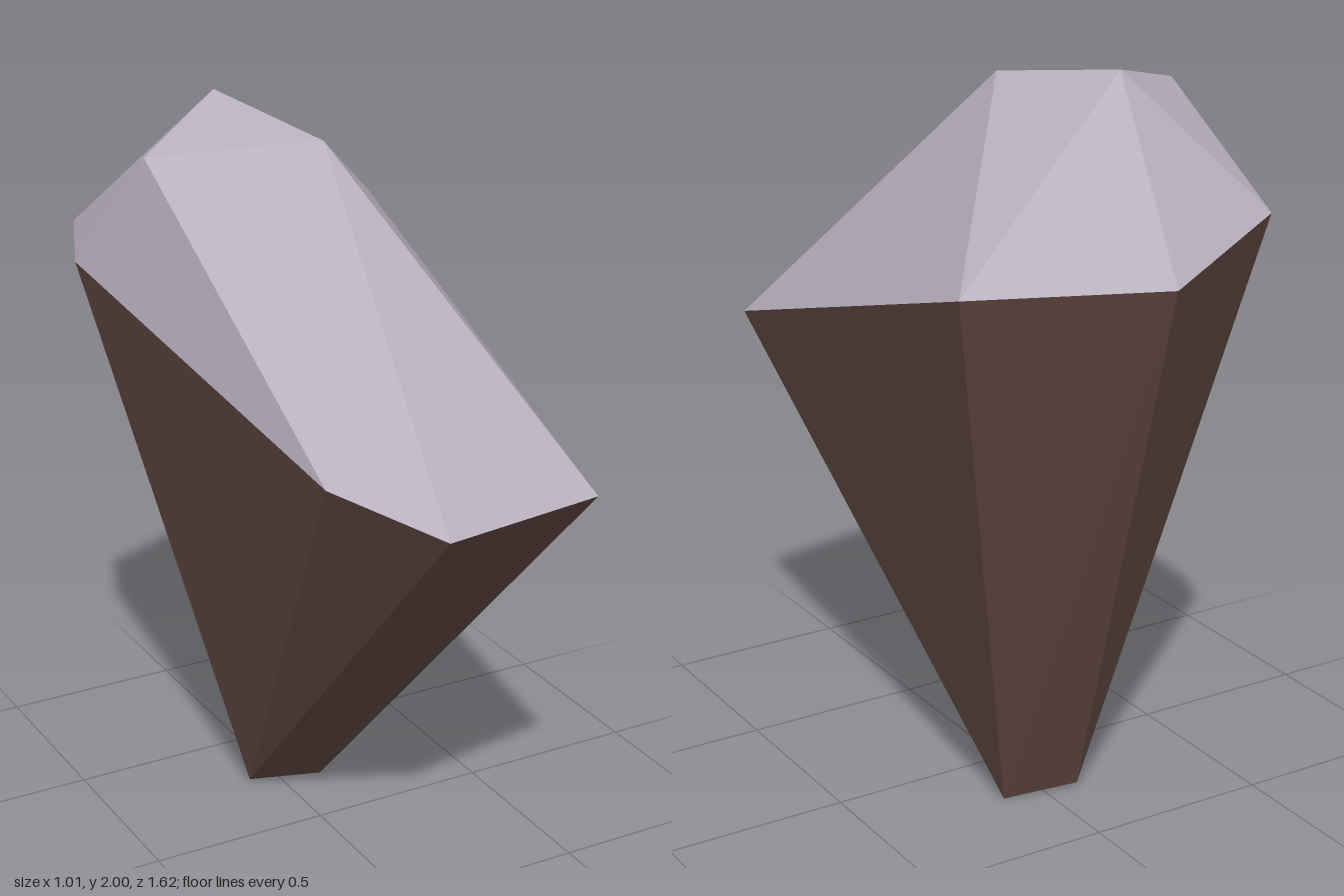
import * as THREE from 'three';

// Rim corners, counter-clockwise seen from above, starting at the front
const rim = [
  [-0.095, 1.185, 0.81], [0.387, 1.17, 0.718], [0.503, 1.58, -0.643], [0.013, 1.57, -0.813],
  [-0.426, 1.64, -0.587], [-0.503, 1.59, -0.406], [-0.318, 1.29, 0.609],
];
const [front, , backRight, back, backLeft, , frontLeft] = rim;

// Three summit corners and the short ridge at the foot
const peak = [-0.1, 2, -0.396], crest = [0.017, 1.94, -0.015], shoulder = [-0.4, 1.91, -0.187];
const footA = [-0.09, 0.012, -0.256], footB = [0.115, 0, -0.212];

function facets(name, color, materialName, triangles) {
  const geometry = new THREE.BufferGeometry();
  geometry.setAttribute('position', new THREE.Float32BufferAttribute(triangles.flat(2), 3));
  geometry.computeVertexNormals();
  const material = new THREE.MeshStandardMaterial({ color });
  material.name = materialName;
  const mesh = new THREE.Mesh(geometry, material);
  mesh.name = name;
  return mesh;
}

export function createModel() {
  const group = new THREE.Group();
  group.name = 'floatingRock';

  // Each rim edge joins one summit corner above and one foot corner below
  const summits = [crest, crest, peak, peak, shoulder, shoulder, crest];
  const feet = [footB, footB, footB, footA, footA, footA, footA];
  const next = (i) => rim[(i + 1) % rim.length];
  const cap = rim.map((p, i) => [p, next(i), summits[i]]);
  const body = rim.map((p, i) => [next(i), p, feet[i]]);

  // Facets that fill in where the summit or foot corner changes
  cap.push([backRight, peak, crest], [backLeft, shoulder, peak],
    [frontLeft, crest, shoulder], [peak, shoulder, crest]);
  body.push([back, footB, footA], [front, footA, footB]);

  // One narrow facet on the back left is mossy
  const moss = body.splice(4, 1);

  group.add(
    facets('stoneCap', 0xb8b0be, 'paleStone', cap),
    facets('earthBody', 0x634941, 'brownEarth', body),
    facets('mossFacet', 0x4c5f42, 'mossGreen', moss),
  );
  return group;
}
